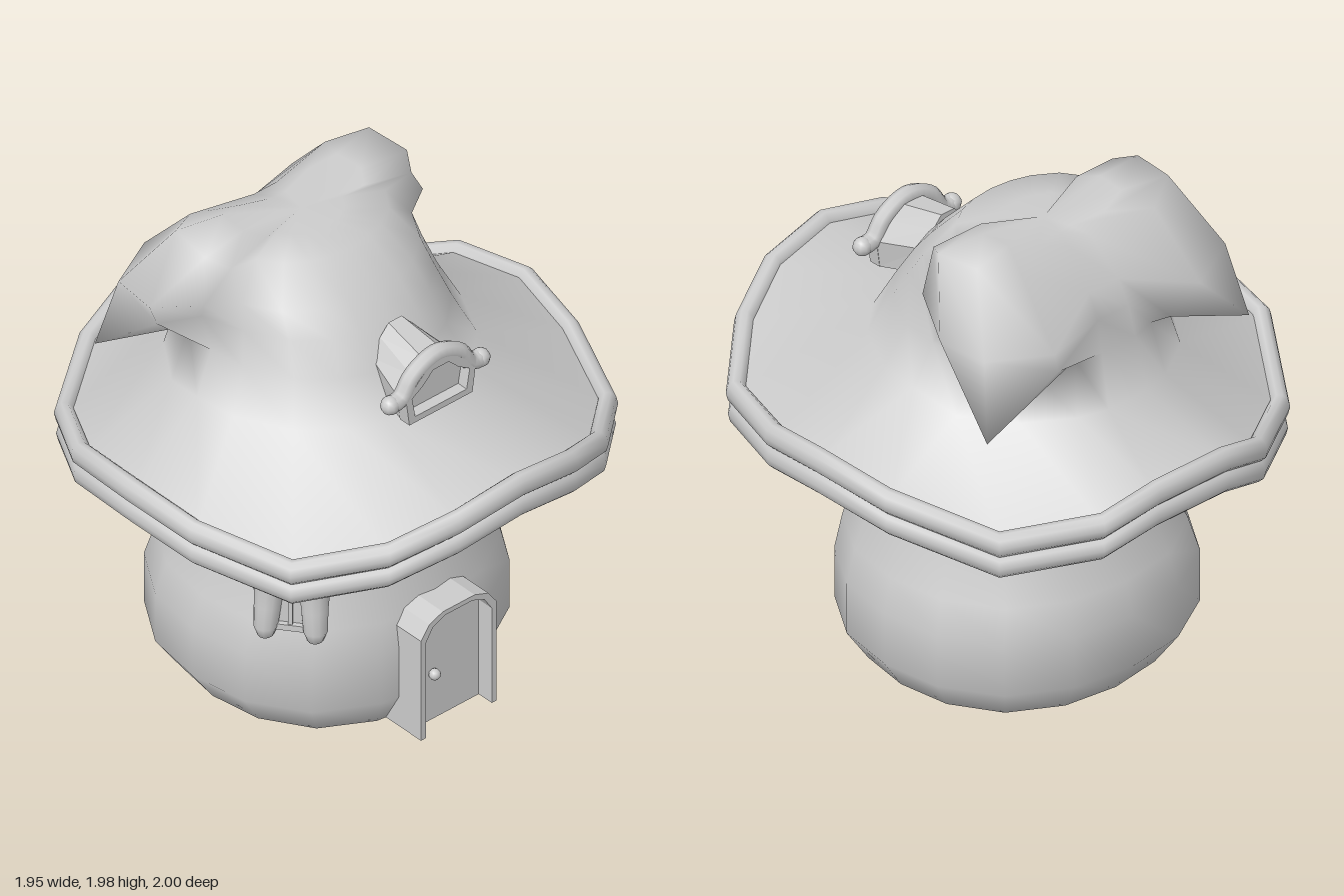
import * as THREE from 'three';
import { mergeVertices } from 'three/addons/utils/BufferGeometryUtils.js';

const material = new THREE.MeshStandardMaterial({ color: 0xcccccc, side: THREE.DoubleSide });

function add(parent, name, geometry, x = 0, y = 0, z = 0) {
  const mesh = new THREE.Mesh(geometry, material);
  mesh.name = name;
  mesh.position.set(x, y, z);
  parent.add(mesh);
  return mesh;
}

// Smooth skin over closed rings of [x, y, z] points
function loft(rings) {
  const n = rings[0].length, index = [];
  for (let i = 0; i < rings.length - 1; i++) {
    for (let j = 0; j < n; j++) {
      const a = i * n + j, b = i * n + (j + 1) % n;
      index.push(a, b, a + n, b, b + n, a + n);
    }
  }
  let g = new THREE.BufferGeometry();
  g.setAttribute('position', new THREE.Float32BufferAttribute(rings.flat(2), 3));
  g.setIndex(index);
  g = mergeVertices(g, 1e-4);
  g.computeVertexNormals();
  return g;
}

const toShape = (pts) => new THREE.Shape(pts.map(([x, y]) => new THREE.Vector2(x, y)));
const extrude = (shape, depth) => new THREE.ExtrudeGeometry(shape, { depth, bevelEnabled: false });

// Wavy brim edge: x, z, top height; one half, mirrored to the other
const halfRim = [[0, 1, 1.41], [0.28, 0.97, 1.36], [0.52, 0.86, 1.27], [0.78, 0.62, 1.19], [0.93, 0.25, 1.24],
  [0.975, -0.05, 1.29], [0.93, -0.38, 1.25], [0.7, -0.73, 1.13], [0.39, -0.95, 1.18], [0.17, -1, 1.25]];
const rim = [...halfRim, ...halfRim.slice(1).reverse().map(([x, z, y]) => [-x, z, y])]
  .map(([x, z, y]) => ({ x, y, z, r: Math.hypot(x, z), angle: Math.atan2(x, z) }));

// Rim moved inwards and down
const rimRing = (inset, drop) => rim.map((p) => [p.x * (1 - inset / p.r), p.y - drop, p.z * (1 - inset / p.r)]);

// Oval crown ring; horn replaces its points from the side to the back, mirrored
function crownRing(y, rx, front, back, horn = []) {
  return rim.map(({ angle }, i) => {
    const h = horn[Math.min(i, rim.length - i) - 5];
    if (h) return [Math.sign(angle) * h[0], h[1], h[2]];
    return [rx * Math.sin(angle), y, (front + back) / 2 + (front - back) / 2 * Math.cos(angle)];
  });
}

function buildCap(parent) {
  const cap = new THREE.Group();
  cap.name = 'cap';
  const base = crownRing(1.42, 0.56, 0.46, -0.65)
    .map(([x, y, z]) => [x, y - (z < -0.2 ? 0.05 : 0), z]);
  add(cap, 'crown', loft([
    rimRing(0.05, 0.04),
    base,
    crownRing(1.58, 0.48, 0.37, -0.6),
    // Drooping lip of the horns, then their outer side, shoulder and inner top
    crownRing(1.7, 0.44, 0.29, -0.57, [[0.47, 1.69, -0.2], [0.53, 1.59, -0.37], [0.63, 1.43, -0.59], [0.27, 1.57, -0.57]]),
    crownRing(1.79, 0.42, 0.21, -0.52, [[0.52, 1.8, -0.13], [0.61, 1.73, -0.32], [0.58, 1.72, -0.52], [0.35, 1.71, -0.64]]),
    crownRing(1.92, 0.32, 0.08, -0.39, [[0.43, 1.94, -0.09], [0.48, 1.97, -0.17], [0.46, 1.98, -0.35], [0.32, 1.94, -0.43]]),
    crownRing(1.935, 0.16, -0.06, -0.31, [[0.23, 1.965, -0.12], [0.28, 1.98, -0.19], [0.27, 1.98, -0.31], [0.16, 1.95, -0.34]]),
    rim.map(() => [0, 1.935, -0.2]),
  ]));
  const inner = rim.map(({ angle, y }) =>
    [0.47 * Math.sin(angle), 1.05 + (y - 1.22) * 0.4, -0.05 + 0.47 * Math.cos(angle)]);
  add(cap, 'capUnderside', loft([inner, rimRing(0.04, 0.185)]));

  // Two stacked rolls around the brim
  [['upperBrimRoll', 0.05, 0], ['lowerBrimRoll', 0.14, 0.008]].forEach(([name, drop, inset]) => {
    const rings = [];
    for (let k = 0; k <= 10; k++) {
      const a = k / 10 * Math.PI * 2;
      rings.push(rimRing(inset + 0.038 - 0.038 * Math.cos(a), drop - 0.05 * Math.sin(a)));
    }
    add(cap, name, loft(rings));
  });
  parent.add(cap);
}

function buildStem(parent) {
  // radius, height, depth factor, z shift
  const profile = [[0.15, 0, 1, -0.03], [0.55, 0.13, 0.96, -0.05], [0.64, 0.26, 0.95, -0.06], [0.64, 0.47, 0.95, -0.06],
    [0.6, 0.6, 0.97, -0.05], [0.51, 0.82, 1, -0.03], [0.49, 1, 1, -0.03], [0.48, 1.15, 1, -0.03]];
  const rings = profile.map(([r, y, depth, shift], i) => Array.from({ length: 16 }, (_, j) => {
    const a = j / 16 * Math.PI * 2, s = Math.sin(a), c = Math.cos(a);
    // The foot is a square opening, the belly slightly squarish
    const k = i === 0 ? r / Math.max(Math.abs(s), Math.abs(c)) : r * (1 + 0.04 * Math.sin(2 * a) ** 2);
    return [k * s, y, k * c * depth + shift];
  }));
  add(parent, 'stem', loft(rings));
}

// Arched doorway outline, from lower right over the top to lower left
const doorArch = (w, top) => [[w, 0.13], [w, top - 0.08], [w * 0.78, top - 0.025], [w * 0.42, top],
  [-w * 0.42, top], [-w * 0.78, top - 0.025], [-w, top - 0.08], [-w, 0.13]];

function buildDoor(parent) {
  const door = new THREE.Group();
  door.name = 'door';
  door.position.x = 0.004;
  const outer = doorArch(0.18, 0.65), inner = doorArch(0.157, 0.63);
  add(door, 'doorFrame', extrude(toShape([...outer, ...inner.reverse()]), 0.27), 0, 0, 0.37);
  add(door, 'doorPanel', extrude(toShape(doorArch(0.16, 0.633)), 0.03), 0, 0, 0.54);
  add(door, 'doorKnob', new THREE.SphereGeometry(0.022, 12, 8), -0.068, 0.34, 0.588);
  parent.add(door);
}

function buildDormer(parent) {
  const dormer = new THREE.Group();
  dormer.name = 'dormerWindow';
  dormer.position.x = 0.004;
  const outline = (w, low, high) => [[w, low], [w + 0.015, 1.57], [w * 0.68, high - 0.045], [w * 0.3, high],
    [-w * 0.3, high], [-w * 0.68, high - 0.045], [-w - 0.015, 1.57], [-w, low]];
  // Body narrows towards the crown
  const body = extrude(toShape(outline(0.15, 1.46, 1.68)), 0.2);
  const p = body.attributes.position;
  for (let i = 0; i < p.count; i++) {
    if (p.getZ(i) < 0.1) p.setXYZ(i, p.getX(i) * 0.7, p.getY(i) + 0.04, p.getZ(i));
  }
  body.computeVertexNormals();
  add(dormer, 'dormerBody', body, 0, 0, 0.3);
  const frame = toShape(outline(0.15, 1.46, 1.68));
  frame.holes.push(toShape(outline(0.122, 1.486, 1.65)));
  add(dormer, 'dormerFrame', extrude(frame, 0.05), 0, 0, 0.495);

  // Curled roof edge
  const path = [[-0.215, 1.565], [-0.165, 1.572], [-0.11, 1.645], [0, 1.69], [0.11, 1.645], [0.165, 1.572], [0.215, 1.565]]
    .map(([x, y]) => new THREE.Vector3(x, y, 0.515));
  add(dormer, 'dormerRoofRoll', new THREE.TubeGeometry(new THREE.CatmullRomCurve3(path), 20, 0.034, 8));
  [path[0], path[6]].forEach((e) =>
    add(dormer, 'rollEnd', new THREE.SphereGeometry(0.036, 10, 8), e.x, e.y, e.z));
  parent.add(dormer);
}

// Stack of level ovals: centre x, centre z, half width, half depth, height
const ovals = (rows) => loft(rows.map(([cx, cz, w, d, y]) => Array.from({ length: 12 }, (_, j) => {
  const a = j / 12 * Math.PI * 2;
  return [cx + w * Math.sin(a), y, cz + d * Math.cos(a)];
})));

function buildSideWindow(parent) {
  const side = new THREE.Group();
  side.name = 'sideWindow';
  side.position.set(-0.45, 0, 0.27);
  side.rotation.y = Math.atan2(-0.8, 0.6);

  // Flared hood with a flat top
  add(side, 'windowHood', ovals([[0, 0, 0.12, 0.08, 0.78], [0, 0, 0.15, 0.1, 0.84],
    [0, 0, 0.2, 0.14, 0.89], [0, 0, 0.25, 0.17, 0.93], [0, 0, 0, 0, 0.92]]));

  // Drooping tapered folds on both sides of the pane
  [-1, 1].forEach((s) => add(side, 'windowFold', ovals([[s * 0.09, 0.06, 0, 0, 0.56], [s * 0.09, 0.06, 0.03, 0.035, 0.57],
    [s * 0.09, 0.06, 0.045, 0.045, 0.61], [s * 0.085, 0.05, 0.05, 0.05, 0.7], [s * 0.08, 0.03, 0.06, 0.06, 0.8],
    [s * 0.08, 0.02, 0.08, 0.08, 0.88]])));
  add(side, 'windowPane', new THREE.BoxGeometry(0.12, 0.2, 0.08), 0, 0.7, 0.01);
  add(side, 'windowSill', new THREE.BoxGeometry(0.12, 0.025, 0.1), 0, 0.61, 0.02);
  add(side, 'windowBar', new THREE.BoxGeometry(0.015, 0.18, 0.02), 0, 0.7, 0.055);
  parent.add(side);
}

export function createModel() {
  const house = new THREE.Group();
  house.name = 'mushroomHouse';
  [buildStem, buildCap, buildDoor, buildDormer, buildSideWindow].forEach((build) => build(house));
  return house;
}
